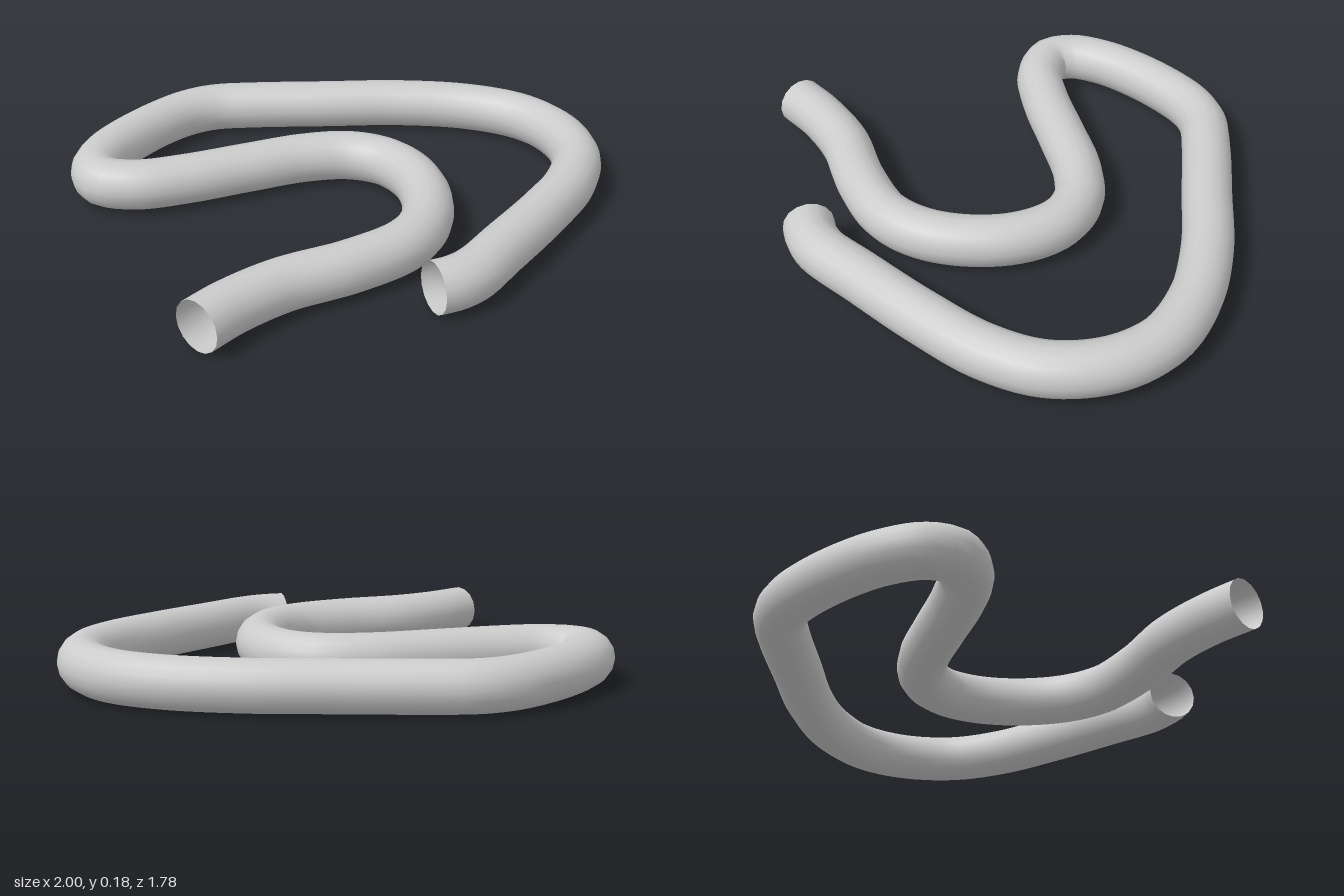
import * as THREE from 'three';

const RADIUS = 0.092;

// Centre line of the bent pipe as [x, z], from the straight end to the cut end
const PATH = [
  [-1, 0.325], [-0.85, 0.328], [-0.65, 0.365], [-0.42, 0.46], [-0.195, 0.512],
  [-0.03, 0.475], [0.12, 0.365], [0.215, 0.225], [0.243, 0.08], [0.195, -0.055],
  [0.07, -0.17], [-0.13, -0.28], [-0.34, -0.39], [-0.49, -0.495], [-0.553, -0.61],
  [-0.51, -0.695], [-0.4, -0.757], [-0.25, -0.792], [-0.08, -0.803], [0.06, -0.79],
  [0.17, -0.745], [0.29, -0.635], [0.48, -0.43], [0.69, -0.2], [0.84, 0.03],
  [0.902, 0.245], [0.865, 0.44], [0.74, 0.605], [0.55, 0.7], [0.29, 0.748],
  [0.0, 0.778], [-0.195, 0.796], [-0.28, 0.78], [-0.347, 0.747],
];

export function createModel() {
  const group = new THREE.Group();
  const curve = new THREE.CatmullRomCurve3(
    PATH.map(([x, z]) => new THREE.Vector3(x, RADIUS, z)));

  // Hollow pipe, open at both ends
  const pipe = new THREE.Mesh(
    new THREE.TubeGeometry(curve, 200, RADIUS, 16, false),
    new THREE.MeshStandardMaterial({ color: 0xcccccc, side: THREE.DoubleSide }));
  pipe.name = 'bentPipe';
  group.add(pipe);
  return group;
}
